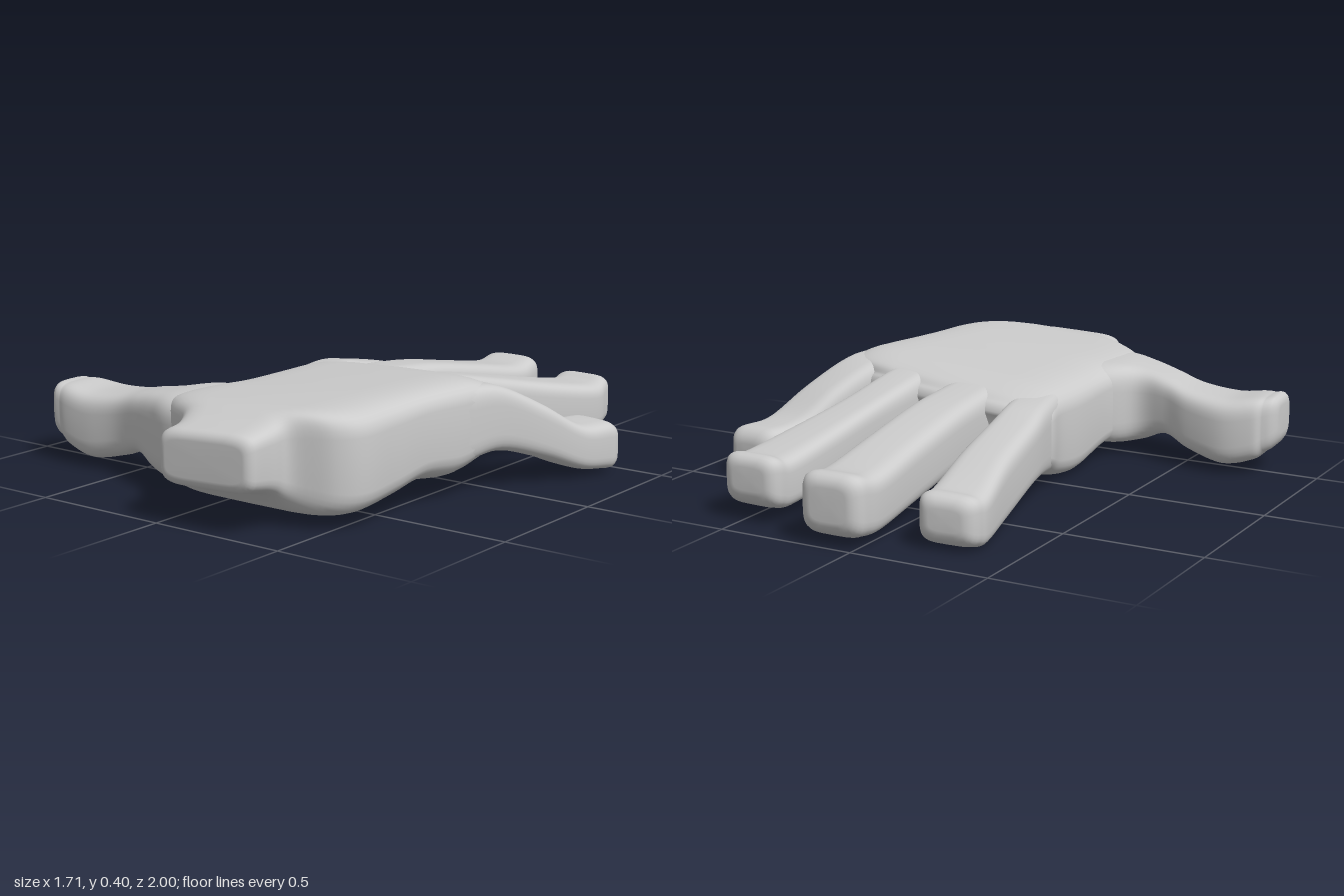
import * as THREE from 'three';

const SIDES = 40, STEPS = 6, CAP = 5;
const material = new THREE.MeshStandardMaterial({ color: 0xcccccc });

// One rounded-box ring. s = [xL, zL, xR, zR, botL, topL, botR, topR, bow]
function ring(s, power, inset, shift) {
  const points = [];
  const width = Math.hypot(s[2] - s[0], s[3] - s[1]);
  for (let j = 0; j < SIDES; j++) {
    const a = (j / SIDES) * Math.PI * 2, c = Math.cos(a), n = Math.sin(a);
    const u = Math.sign(c) * Math.abs(c) ** power * (1 - (2 * inset) / width);
    const k = (u + 1) / 2;
    const bot = s[4] + (s[6] - s[4]) * k, top = s[5] + (s[7] - s[5]) * k;
    const v = Math.sign(n) * Math.abs(n) ** power * ((top - bot) / 2 - inset);
    points.push(new THREE.Vector3(
      s[0] + (s[2] - s[0]) * k,
      (top + bot) / 2 + v,
      s[1] + (s[3] - s[1]) * k - s[8] * (1 - u * u)
    ).add(shift));
  }
  return points;
}

const centre = s => new THREE.Vector3(
  (s[0] + s[2]) / 2, (s[4] + s[5] + s[6] + s[7]) / 4, (s[1] + s[3]) / 2);

// Smooth skin through the sections, with rounded ends
function loft(name, rows, round, power) {
  const data = rows.map(r => (r.length < 9 ? [...r, 0] : r));
  const spline = new THREE.CubicInterpolant(data.map((_, i) => i), data.flat(), 9);
  const count = (data.length - 1) * STEPS;
  const sections = [];
  for (let i = 0; i <= count; i++) sections.push(Array.from(spline.evaluate(i / STEPS)));

  const cap = (end, before) => {
    const dir = centre(end).sub(centre(before)).normalize();
    const rings = [];
    for (let i = 1; i <= CAP; i++) {
      const a = (i / CAP) * Math.PI / 2;
      rings.push(ring(end, power, round * (1 - Math.cos(a)),
        dir.clone().multiplyScalar(round * Math.sin(a))));
    }
    return rings;
  };
  const none = new THREE.Vector3();
  const rings = [
    ...cap(sections[0], sections[1]).reverse(),
    ...sections.map(s => ring(s, power, 0, none)),
    ...cap(sections[count], sections[count - 1])
  ];

  const points = rings.flat(), index = [];
  for (let i = 0; i < rings.length - 1; i++) {
    for (let j = 0; j < SIDES; j++) {
      const a = i * SIDES + j, b = i * SIDES + ((j + 1) % SIDES);
      index.push(a, a + SIDES, b, b, a + SIDES, b + SIDES);
    }
  }
  // Flat middles of the two ends
  for (const [i, flip] of [[0, false], [rings.length - 1, true]]) {
    const mid = new THREE.Vector3();
    rings[i].forEach(p => mid.addScaledVector(p, 1 / SIDES));
    const m = points.push(mid) - 1;
    for (let j = 0; j < SIDES; j++) {
      const a = i * SIDES + j, b = i * SIDES + ((j + 1) % SIDES);
      if (flip) index.push(m, b, a); else index.push(m, a, b);
    }
  }
  const geometry = new THREE.BufferGeometry().setFromPoints(points);
  geometry.setIndex(index);
  geometry.computeVertexNormals();
  const mesh = new THREE.Mesh(geometry, material);
  mesh.name = name;
  return mesh;
}

export function createModel() {
  const hand = new THREE.Group();
  hand.name = 'hand';

  // Wrist stub widening into the palm, ending at the finger webs
  hand.add(loft('palm', [
    [0.01, 0.97, 0.385, 0.95, 0.15, 0.34, 0.16, 0.355],
    [0.0, 0.9, 0.39, 0.87, 0.14, 0.35, 0.14, 0.37],
    [-0.05, 0.82, 0.41, 0.81, 0.1, 0.37, 0.1, 0.395],
    [-0.16, 0.75, 0.53, 0.75, 0.06, 0.375, 0.06, 0.41],
    [-0.25, 0.66, 0.59, 0.66, 0.05, 0.37, 0.05, 0.415],
    [-0.26, 0.5, 0.6, 0.5, 0.06, 0.365, 0.07, 0.42],
    [-0.24, 0.35, 0.61, 0.35, 0.04, 0.36, 0.1, 0.425],
    [-0.24, 0.15, 0.635, 0.2, 0.0, 0.36, 0.09, 0.43],
    [-0.24, 0.0, 0.655, 0.1, 0.02, 0.36, 0.12, 0.425, 0.02],
    [-0.26, -0.1, 0.66, 0.02, 0.07, 0.345, 0.15, 0.395, 0.04],
    [-0.255, -0.15, 0.61, -0.01, 0.1, 0.325, 0.15, 0.355, 0.05]
  ], 0.035, 0.38));

  // Thumb, running out to the right side
  hand.add(loft('thumb', [
    [0.0, 0.78, 0.0, 0.32, 0.1, 0.36, 0.1, 0.36],
    [-0.18, 0.755, -0.2, 0.36, 0.06, 0.36, 0.06, 0.36],
    [-0.3, 0.705, -0.31, 0.45, 0.07, 0.345, 0.07, 0.345],
    [-0.4, 0.67, -0.42, 0.44, 0.11, 0.325, 0.11, 0.325],
    [-0.52, 0.64, -0.53, 0.4, 0.075, 0.3, 0.075, 0.3],
    [-0.66, 0.64, -0.67, 0.375, 0.045, 0.288, 0.045, 0.288],
    [-0.76, 0.635, -0.78, 0.395, 0.07, 0.3, 0.07, 0.3],
    [-0.805, 0.625, -0.815, 0.42, 0.1, 0.3, 0.1, 0.3]
  ], 0.05, 0.5));

  // Four fingers, rooted inside the palm
  const fingers = {
    indexFinger: [
      [-0.22, 0.05, -0.05, 0.05, 0.06, 0.34, 0.06, 0.35],
      [-0.265, -0.15, -0.095, -0.17, 0.09, 0.335, 0.09, 0.345],
      [-0.295, -0.3, -0.11, -0.3, 0.09, 0.31, 0.09, 0.32],
      [-0.33, -0.55, -0.125, -0.53, 0.04, 0.26, 0.05, 0.27],
      [-0.365, -0.74, -0.145, -0.74, 0.02, 0.2, 0.025, 0.21],
      [-0.365, -0.8, -0.155, -0.82, 0.03, 0.2, 0.035, 0.21]
    ],
    middleFinger: [
      [-0.03, 0.05, 0.18, 0.05, 0.08, 0.37, 0.08, 0.38],
      [-0.03, -0.17, 0.19, -0.17, 0.12, 0.355, 0.12, 0.36],
      [-0.03, -0.35, 0.195, -0.35, 0.12, 0.335, 0.12, 0.34],
      [-0.03, -0.6, 0.2, -0.6, 0.08, 0.29, 0.08, 0.295],
      [-0.04, -0.85, 0.205, -0.85, 0.045, 0.25, 0.045, 0.25],
      [-0.035, -0.95, 0.2, -0.95, 0.05, 0.262, 0.05, 0.262]
    ],
    ringFinger: [
      [0.26, 0.08, 0.45, 0.08, 0.1, 0.39, 0.1, 0.395],
      [0.27, -0.13, 0.455, -0.1, 0.13, 0.365, 0.13, 0.37],
      [0.295, -0.35, 0.48, -0.33, 0.13, 0.325, 0.13, 0.32],
      [0.32, -0.6, 0.535, -0.57, 0.09, 0.275, 0.09, 0.27],
      [0.34, -0.8, 0.575, -0.78, 0.06, 0.24, 0.06, 0.235],
      [0.345, -0.865, 0.57, -0.855, 0.07, 0.25, 0.07, 0.25]
    ],
    littleFinger: [
      [0.44, 0.12, 0.64, 0.17, 0.13, 0.39, 0.13, 0.4],
      [0.495, -0.03, 0.685, 0.02, 0.155, 0.38, 0.155, 0.385],
      [0.565, -0.19, 0.76, -0.14, 0.11, 0.31, 0.11, 0.3],
      [0.62, -0.33, 0.82, -0.29, 0.05, 0.22, 0.05, 0.21],
      [0.65, -0.45, 0.855, -0.42, 0.03, 0.205, 0.03, 0.2]
    ]
  };
  for (const [name, rows] of Object.entries(fingers)) hand.add(loft(name, rows, 0.05, 0.46));

  return hand;
}
